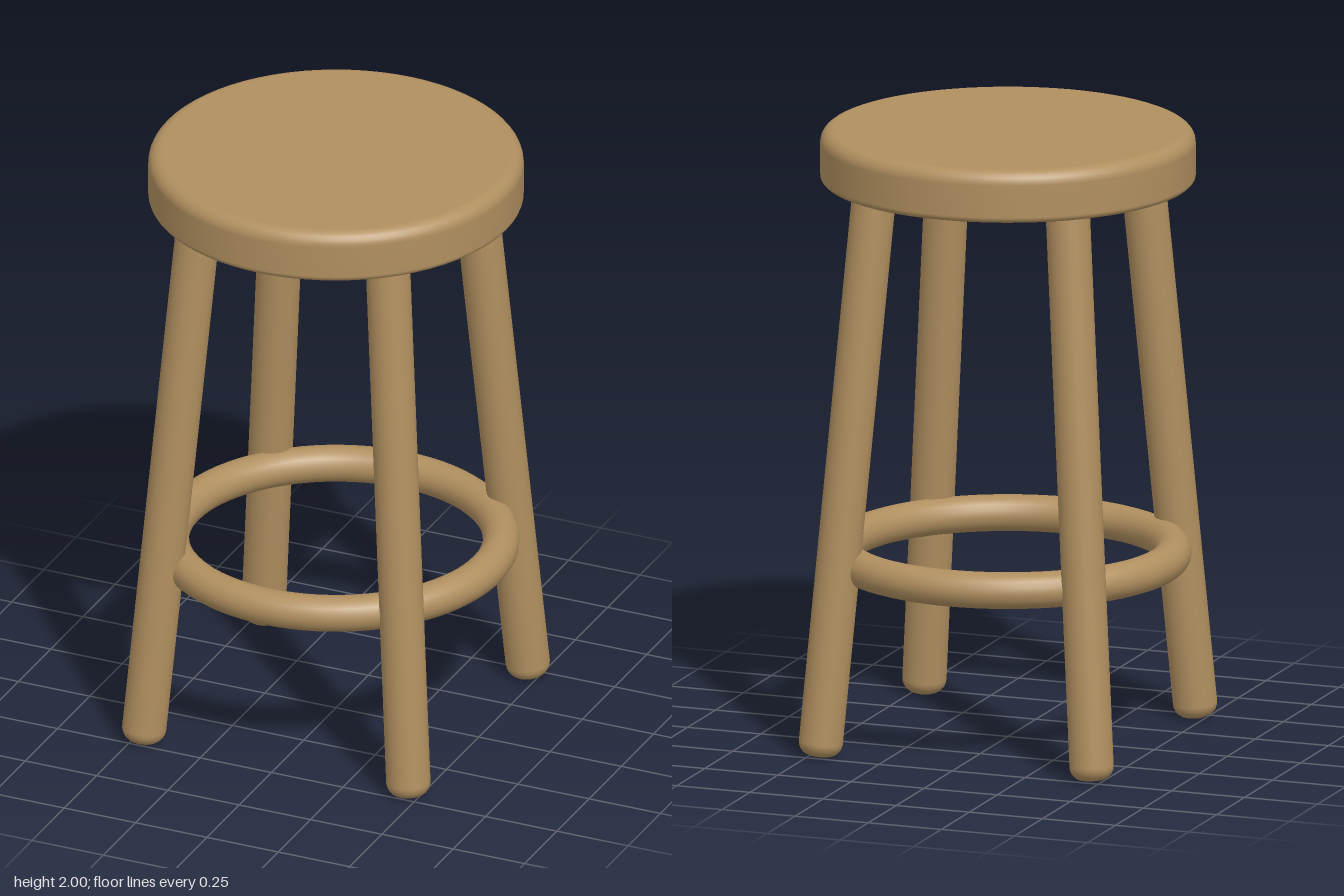
import * as THREE from 'three';

const wood = new THREE.MeshStandardMaterial({ color: 0xb08f5f });
wood.name = 'wood';

// Closed turned solid with rounded rims; b and t are the bottom and top rim radii
function turned(r, height, b, t, segments) {
  const points = [new THREE.Vector2(0, 0)];
  const steps = 6;
  for (let i = 0; i <= steps; i++) {
    const a = (i / steps) * Math.PI / 2;
    points.push(new THREE.Vector2(r - b + b * Math.sin(a), b - b * Math.cos(a)));
  }
  for (let i = 0; i <= steps; i++) {
    const a = (i / steps) * Math.PI / 2;
    points.push(new THREE.Vector2(r - t + t * Math.cos(a), height - t + t * Math.sin(a)));
  }
  points.push(new THREE.Vector2(0, height));
  return new THREE.LatheGeometry(points, segments);
}

export function createModel() {
  const stool = new THREE.Group();
  stool.name = 'stool';

  // Round seat with softened edges
  const seat = new THREE.Mesh(turned(0.6, 0.17, 0.02, 0.045, 72), wood);
  seat.name = 'seat';
  seat.position.y = 1.83;
  stool.add(seat);

  // Four splayed legs, running up into the seat
  const up = new THREE.Vector3(0, 1, 0);
  const names = { '1,1': 'frontLeftLeg', '-1,1': 'frontRightLeg', '1,-1': 'backLeftLeg', '-1,-1': 'backRightLeg' };
  for (const sx of [1, -1]) {
    for (const sz of [1, -1]) {
      const foot = new THREE.Vector3(0.466 * sx, 0.003, 0.466 * sz);
      const top = new THREE.Vector3(0.328 * sx, 1.87, 0.328 * sz);
      const axis = top.clone().sub(foot);
      const leg = new THREE.Mesh(turned(0.071, axis.length(), 0.045, 0.01, 28), wood);
      leg.name = names[`${sx},${sz}`];
      leg.position.copy(foot);
      leg.quaternion.setFromUnitVectors(up, axis.normalize());
      stool.add(leg);
    }
  }

  // Foot ring joining the legs
  const ring = new THREE.Mesh(new THREE.TorusGeometry(0.528, 0.059, 18, 80), wood);
  ring.name = 'footRing';
  ring.rotation.x = Math.PI / 2;
  ring.position.y = 0.608;
  stool.add(ring);

  return stool;
}
